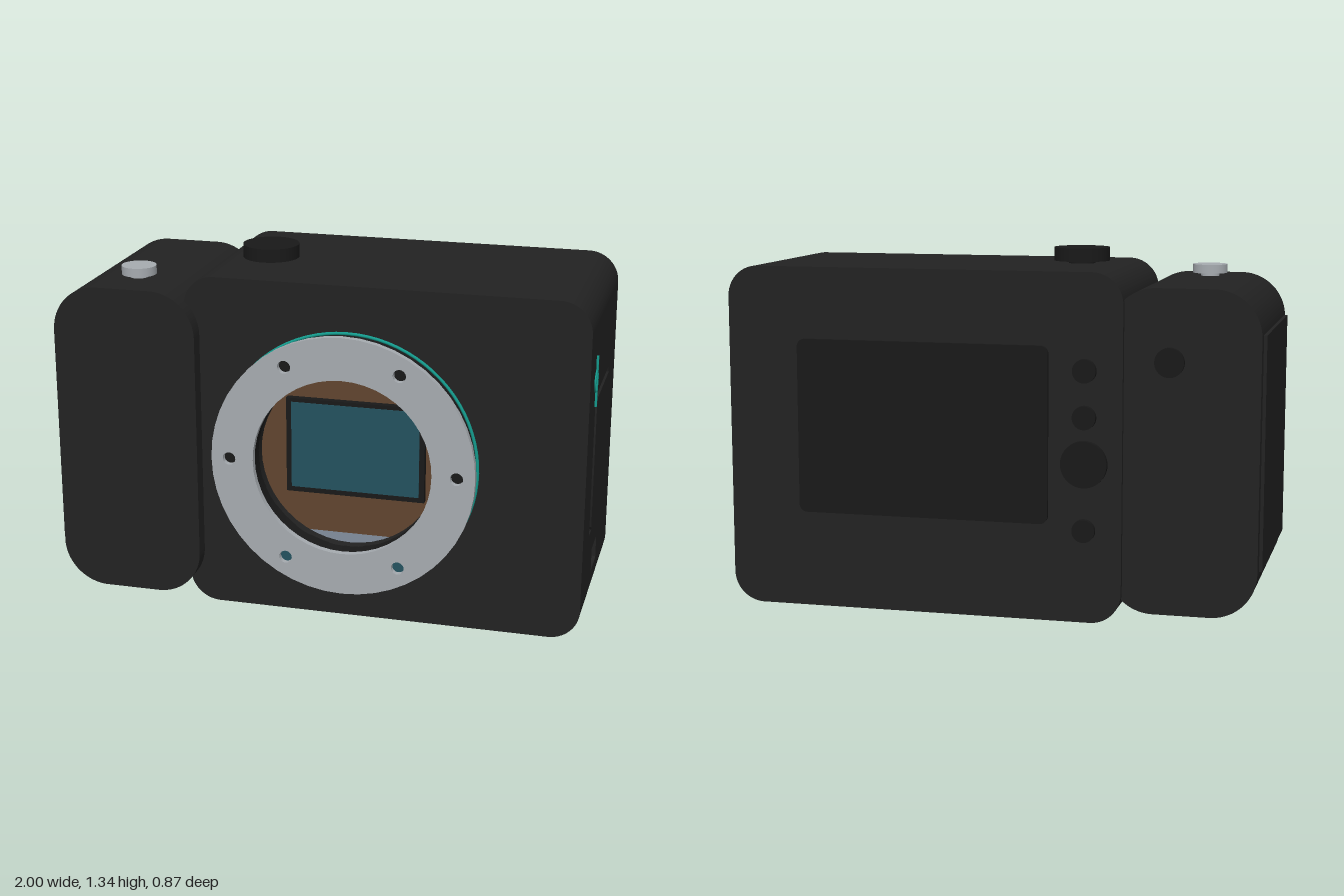
import * as THREE from 'three';
import { toCreasedNormals } from 'three/addons/utils/BufferGeometryUtils.js';

const mat = (name, color) => Object.assign(new THREE.MeshStandardMaterial({ color }), { name });

export function createModel() {
  const model = new THREE.Group();
  model.name = 'camera';
  const black = mat('body black', 0x222222);
  const dark = mat('control black', 0x191919);
  const silver = mat('satin silver', 0xa6abb0);
  const slate = mat('slate metal', 0x76818f);
  const brown = mat('sensor bay brown', 0x61452f);
  const glass = mat('sensor blue', 0x24515e);
  const teal = mat('teal accent', 0x149a8c);

  // Helpers
  const add = (name, geometry, material, x = 0, y = 0, z = 0) => {
    const mesh = new THREE.Mesh(geometry, material);
    mesh.name = name;
    mesh.position.set(x, y, z);
    model.add(mesh);
    return mesh;
  };
  const box = (name, material, x0, x1, y0, y1, z0, z1) =>
    add(name, new THREE.BoxGeometry(x1 - x0, y1 - y0, z1 - z0), material,
      (x0 + x1) / 2, (y0 + y1) / 2, (z0 + z1) / 2);
  const roundRect = (x0, x1, y0, y1, r, C = THREE.Shape) => {
    const s = new C();
    s.absarc(x1 - r, y0 + r, r, -Math.PI / 2, 0);
    s.absarc(x1 - r, y1 - r, r, 0, Math.PI / 2);
    s.absarc(x0 + r, y1 - r, r, Math.PI / 2, Math.PI);
    s.absarc(x0 + r, y0 + r, r, Math.PI, Math.PI * 1.5);
    s.closePath();
    return s;
  };
  const circle = (x, y, r, C = THREE.Path) => new C().absarc(x, y, r, 0, Math.PI * 2);
  const extrude = (shape, depth) => toCreasedNormals(new THREE.ExtrudeGeometry(shape,
    { depth, bevelEnabled: false, curveSegments: 24 }), 0.6);
  const slab = (name, material, shape, z0, z1) => add(name, extrude(shape, z1 - z0), material, 0, 0, z0);
  const disc = (name, material, r, h, x, y, z, facing = 'y') => {
    const g = new THREE.CylinderGeometry(r, r, h, 40);
    if (facing === 'z') g.rotateX(Math.PI / 2);
    return add(name, g, material, x, y, z);
  };

  // Body: solid rear, square chamber, and front wall with round throat
  const bodyShape = () => {
    const s = new THREE.Shape(), r = 0.115, x0 = -0.5, x1 = 0.99, y1 = 1.275;
    s.absarc(x1 - r, r, r, -Math.PI / 2, 0);
    s.lineTo(0.95, r);
    s.lineTo(0.95, y1 - r);
    s.absarc(x1 - r, y1 - r, r, 0, Math.PI / 2);
    s.absarc(x0 + r, y1 - r, r, Math.PI / 2, Math.PI);
    s.absarc(x0 + r, r, r, Math.PI, Math.PI * 1.5);
    s.closePath();
    return s;
  };
  const cx = 0.115, cy = 0.615;
  slab('bodyRear', black, bodyShape(), -0.4, 0.2);
  const chamber = bodyShape();
  chamber.holes.push(roundRect(cx - 0.4, cx + 0.4, cy - 0.355, cy + 0.355, 0.005, THREE.Path));
  slab('bodyChamber', black, chamber, 0.2, 0.31);
  const front = bodyShape();
  front.holes.push(circle(cx, cy, 0.338));
  slab('bodyFront', black, front, 0.31, 0.35);

  // Side wall with openings for the door and the port
  const wall = new THREE.Shape([[-0.35, 0.115], [0.4, 0.115], [0.4, 1.16], [-0.35, 1.16]]
    .map(p => new THREE.Vector2(...p)));
  wall.holes.push(roundRect(-0.175, 0.21, 0.34, 0.88, 0.004, THREE.Path),
    roundRect(-0.065, 0.07, 0.155, 0.245, 0.004, THREE.Path));
  add('sideWall', extrude(wall, 0.04), black, 0.95).rotation.y = Math.PI / 2;
  box('doorRecess', slate, 0.945, 0.952, 0.335, 0.885, -0.215, 0.18);
  box('portRecess', slate, 0.945, 0.955, 0.15, 0.25, -0.075, 0.07);
  add('sideDoor', extrude(roundRect(-0.16, 0.197, 0.354, 0.868, 0.025), 0.043), black, 0.952)
    .rotation.y = Math.PI / 2;

  // Side mark: ring crossed by a line
  add('markRing', new THREE.TorusGeometry(0.036, 0.005, 8, 40), teal, 0.991, 0.945, 0.195)
    .rotation.y = Math.PI / 2;
  box('markLine', teal, 0.986, 0.998, 0.85, 1.04, 0.191, 0.199);

  // Sensor bay
  box('bayPlate', brown, cx - 0.39, cx + 0.39, cy - 0.345, cy + 0.345, 0.195, 0.207);
  for (const s of [-1, 1]) {
    box('bayWall', slate, cx + s * 0.395 - 0.005, cx + s * 0.395 + 0.005, cy - 0.35, cy + 0.35, 0.2, 0.31);
    box('bayFloor', slate, cx - 0.4, cx + 0.4, cy + s * 0.35 - 0.005, cy + s * 0.35 + 0.005, 0.2, 0.31);
  }
  box('sensorFrame', dark, -0.15, 0.38, 0.43, 0.8, 0.205, 0.232);
  box('sensor', glass, -0.13, 0.36, 0.45, 0.785, 0.23, 0.235);
  disc('bayPin', brown, 0.018, 0.015, cx, 0.92, 0.21, 'z');

  // Lens mount
  const throat = circle(cx, cy, 0.478, THREE.Shape);
  throat.holes.push(circle(cx, cy, 0.338));
  slab('mountThroat', dark, throat, 0.345, 0.41);
  add('mountSeal', new THREE.TorusGeometry(0.486, 0.006, 8, 80), teal, cx, cy, 0.353);
  const ring = circle(cx, cy, 0.493, THREE.Shape);
  ring.holes.push(circle(cx, cy, 0.334));
  for (let i = 0; i < 6; i++) {
    const a = i * Math.PI / 3, x = cx + 0.425 * Math.cos(a), y = cy + 0.425 * Math.sin(a);
    ring.holes.push(circle(x, y, 0.024));
    disc('mountScrew', i > 3 ? glass : dark, 0.023, 0.008, x, y, 0.411, 'z');
  }
  slab('mountRing', silver, ring, 0.41, 0.435);

  // Hand grip, side pad and battery door
  slab('grip', black, roundRect(-0.988, -0.443, 0.042, 1.222, 0.17), -0.38, 0.41);
  box('gripPad', black, -1, -0.985, 0.21, 1.06, -0.33, 0.385);
  box('batteryDoor', black, -0.91, -0.5, 0.028, 0.06, -0.11, 0.2);

  // Top controls
  disc('dialStem', dark, 0.05, 0.03, -0.26, 1.28, 0.033);
  disc('topDial', dark, 0.105, 0.05, -0.26, 1.31, 0.033);
  disc('shutterStem', silver, 0.035, 0.03, -0.72, 1.225, 0.215);
  disc('shutterButton', silver, 0.065, 0.033, -0.72, 1.25, 0.215);

  // Rear screen and buttons
  slab('rearScreen', dark, roundRect(-0.23, 0.72, 0.36, 1.01, 0.03), -0.413, -0.395);
  for (const [y, r] of [[0.925, 0.043], [0.757, 0.043], [0.588, 0.085], [0.345, 0.042]]) {
    disc('rearButtonStem', dark, r * 0.6, 0.03, -0.365, y, -0.405, 'z');
    disc('rearButton', dark, r, 0.02, -0.365, y, -0.421, 'z');
  }
  disc('gripButtonStem', dark, 0.022, 0.05, -0.67, 0.965, -0.395, 'z');
  disc('gripButton', dark, 0.053, 0.018, -0.67, 0.965, -0.424, 'z');

  return model;
}
